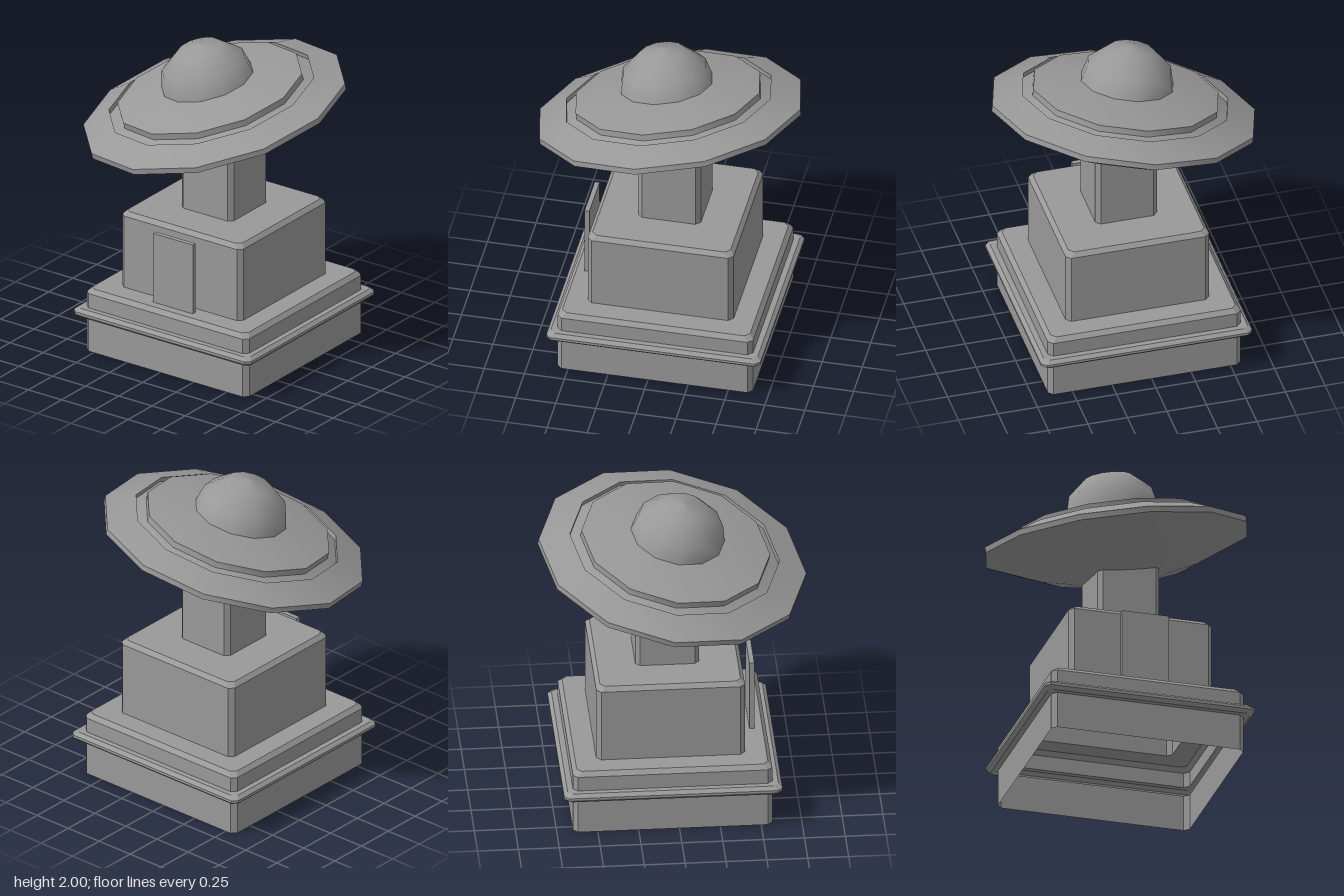
import * as THREE from 'three';
import { toCreasedNormals } from 'three/addons/utils/BufferGeometryUtils.js';

const darkGrey = new THREE.MeshStandardMaterial({ color: 0x999999, side: THREE.DoubleSide });

function part(name, geometry) {
  const mesh = new THREE.Mesh(geometry, darkGrey);
  mesh.name = name;
  return mesh;
}

// Shell of square cross-sections with cut corners; profile holds [half width, height]
function squareShell(profile, cut) {
  const positions = [];
  const rings = profile.map(([h, y]) => {
    const k = Math.max(h - cut, 0);
    return [[k, h], [h, k], [h, -k], [k, -h], [-k, -h], [-h, -k], [-h, k], [-k, h]]
      .map(([x, z]) => [x, y, z]);
  });
  for (let i = 0; i < rings.length - 1; i++) {
    for (let j = 0; j < 8; j++) {
      const n = (j + 1) % 8;
      const a = rings[i][j], b = rings[i][n], c = rings[i + 1][n], d = rings[i + 1][j];
      positions.push(...a, ...b, ...c, ...a, ...c, ...d);
    }
  }
  const geometry = new THREE.BufferGeometry();
  geometry.setAttribute('position', new THREE.Float32BufferAttribute(positions, 3));
  geometry.computeVertexNormals();
  return geometry;
}

// Smooth twelve-sided turned form
function turned(profile) {
  return new THREE.LatheGeometry(profile.map(([r, y]) => new THREE.Vector2(r, y)), 12);
}

export function createModel() {
  const model = new THREE.Group();
  model.name = 'saucerOnPedestal';

  // Pedestal, hollow and open underneath
  const pedestal = new THREE.Group();
  pedestal.name = 'pedestal';
  pedestal.position.set(0.04, 0, -0.04);
  pedestal.add(part('steppedBase', squareShell([
    [0.61, 0], [0.61, 0.232], [0.645, 0.232], [0.668, 0.253], [0.668, 0.27], [0.645, 0.29],
    [0.61, 0.29], [0.61, 0.385], [0.585, 0.413], [0.455, 0.413], [0.455, 0.888],
    [0.43, 0.915], [0.195, 0.915],
  ], 0.03)));
  pedestal.add(part('column', squareShell([[0.195, 0.915], [0.195, 1.5], [0, 1.5]], 0.028)));

  // Thin panel standing just clear of the front wall
  const panel = part('frontPanel', new THREE.BoxGeometry(0.3, 0.46, 0.03));
  panel.position.set(0.002, 0.645, 0.52);
  pedestal.add(panel);
  model.add(pedestal);

  // Tilted saucer
  const saucer = new THREE.Group();
  saucer.name = 'saucer';
  saucer.position.set(0, 1.57, 0);
  saucer.rotation.set(0.175, -0.028, 0.175);

  // Underside, rim, raised ring, groove and inner deck in one profile, creased at the steps
  saucer.add(part('hull', toCreasedNormals(turned([
    [0, -0.24], [0.3, -0.215], [0.5, -0.163], [0.83, -0.018], [0.83, 0.018],
    [0.65, 0.09], [0.65, 0.06], [0.585, 0.09], [0.585, 0.13], [0.27, 0.195], [0, 0.2],
  ]), 0.6)));
  saucer.add(part('dome', turned([
    [0.292, 0.185], [0.262, 0.302], [0.14, 0.41], [0, 0.438],
  ])));
  model.add(saucer);

  return model;
}
